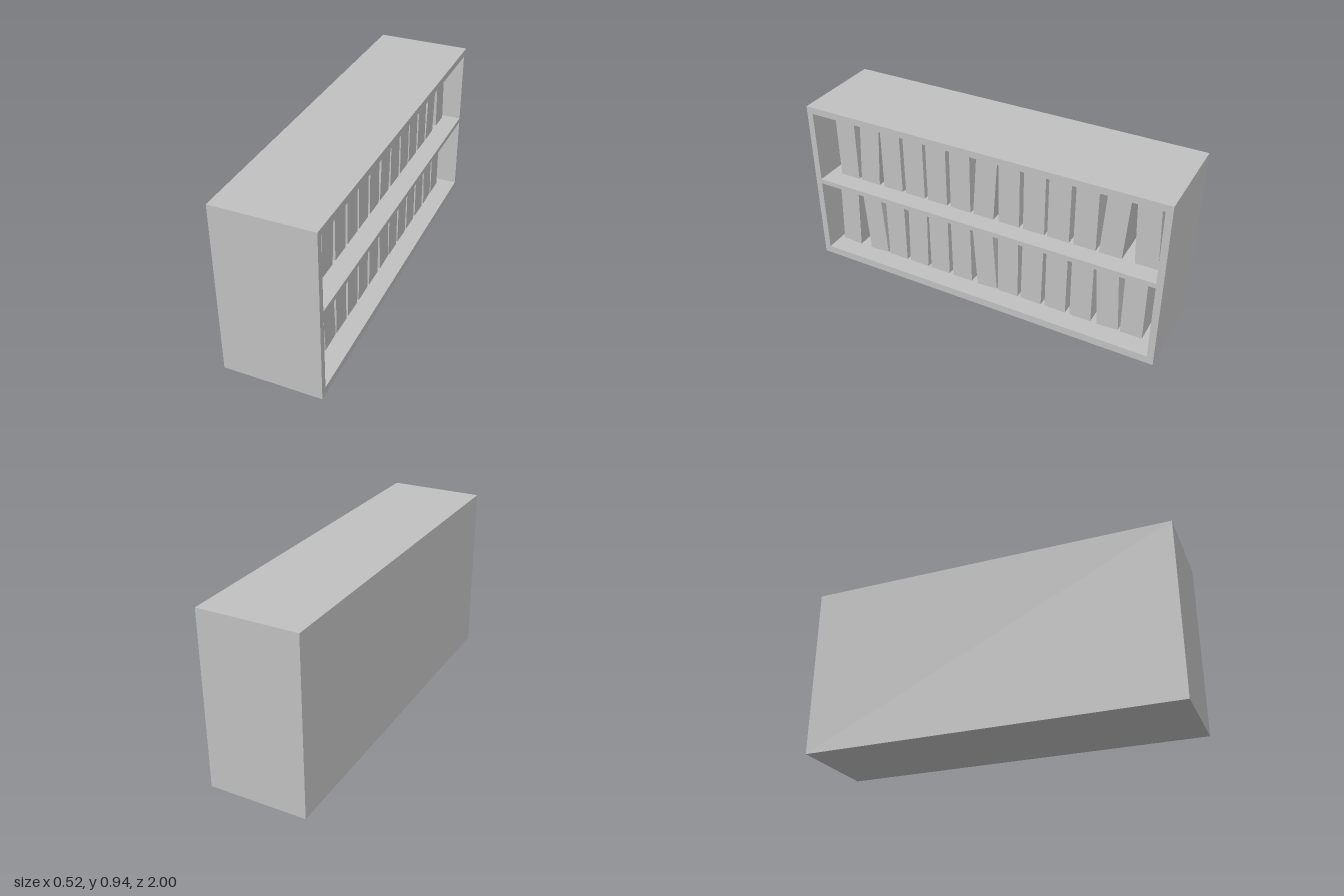
import * as THREE from 'three';

const WIDTH = 2, HEIGHT = 0.94, DEPTH = 0.52, BACK = 0.03;

// Rectangle outline added to a shape or path
function rect(path, x0, y0, x1, y1) {
  path.moveTo(x0, y0);
  path.lineTo(x1, y0);
  path.lineTo(x1, y1);
  path.lineTo(x0, y1);
  path.closePath();
  return path;
}

// Each row: [centre z, lean about x] per book
const ROWS = [
  {
    name: 'lowerBook', y: 0.253, height: 0.409,
    books: [[0.867, -0.047], [0.70, 0.065], [0.558, 0], [0.414, -0.025], [0.281, 0],
      [0.142, 0.012], [0, 0.07], [-0.14, 0], [-0.28, -0.013], [-0.418, 0],
      [-0.56, 0.008], [-0.70, 0.065], [-0.842, 0]],
  },
  {
    name: 'upperBook', y: 0.685, height: 0.4,
    books: [[0.842, 0], [0.695, -0.065], [0.558, 0], [0.418, 0], [0.281, 0],
      [0.14, 0], [-0.007, -0.065], [-0.143, 0], [-0.283, 0], [-0.418, 0],
      [-0.56, 0], [-0.708, -0.065], [-0.872, 0.047]],
  },
];

export function createModel() {
  const group = new THREE.Group();
  const grey = new THREE.MeshStandardMaterial({ color: 0xc0c0c0 });
  grey.name = 'plain grey';

  const add = (name, geometry) => {
    const mesh = new THREE.Mesh(geometry, grey);
    mesh.name = name;
    group.add(mesh);
    return mesh;
  };

  // Frame with two long compartments, open towards +x
  const outline = rect(new THREE.Shape(), -WIDTH / 2, 0, WIDTH / 2, HEIGHT);
  outline.holes.push(
    rect(new THREE.Path(), -0.965, 0.043, 0.965, 0.473),
    rect(new THREE.Path(), -0.965, 0.5, 0.965, 0.903),
  );
  const frame = new THREE.ExtrudeGeometry(outline, { depth: DEPTH - BACK, bevelEnabled: false });
  frame.rotateY(Math.PI / 2);
  add('shelfFrame', frame).position.x = -DEPTH / 2 + BACK;

  // Closed back
  add('backPanel', new THREE.BoxGeometry(BACK, HEIGHT, WIDTH))
    .position.set(-DEPTH / 2 + BACK / 2, HEIGHT / 2, 0);

  // Rows of books, some leaning
  const spineX = 0.158, bookDepth = 0.37;
  for (const row of ROWS) {
    const geometry = new THREE.BoxGeometry(bookDepth, row.height, 0.118);
    row.books.forEach(([z, lean], i) => {
      const book = add(`${row.name}${i + 1}`, geometry);
      book.position.set(spineX - bookDepth / 2, row.y, z);
      book.rotation.x = lean;
    });
  }
  return group;
}
